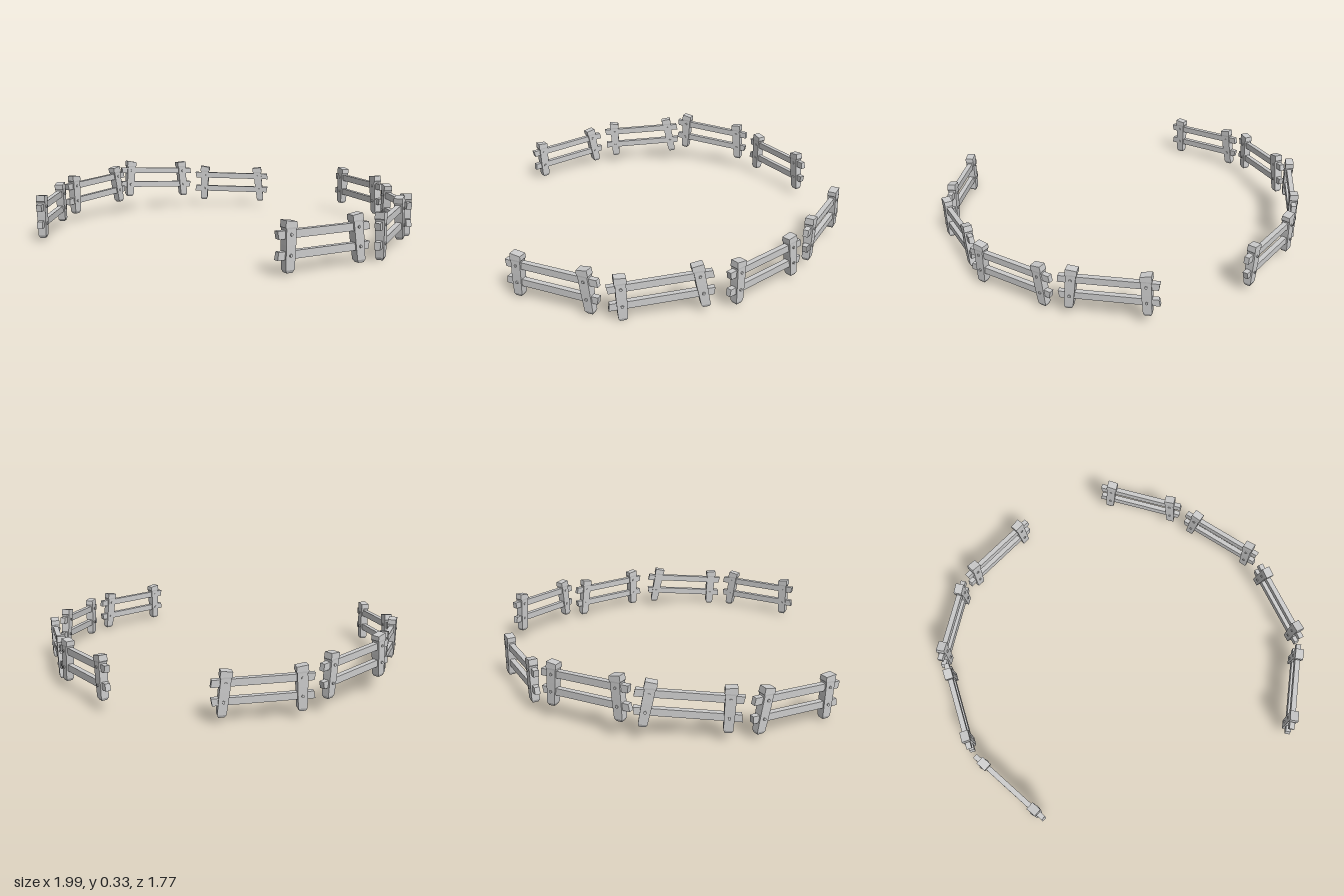
import * as THREE from 'three';

const wood = new THREE.MeshStandardMaterial({ color: 0xcccccc, flatShading: true });

// Fence panels: [xA, midHeightA, zA, xB, midHeightB, zB] at the two posts
const PANELS = [
  [-0.67, 0.170, -0.59, -0.355, 0.162, -0.77],
  [-0.955, 0.225, -0.145, -0.78, 0.205, -0.465],
  [-0.96, 0.178, 0.35, -0.96, 0.200, -0.015],
  [-0.725, 0.135, 0.82, -0.915, 0.155, 0.505],
  [0.245, 0.187, -0.835, 0.55, 0.174, -0.635],
  [0.89, 0.143, -0.22, 0.665, 0.143, -0.515],
  [0.965, 0.127, 0.32, 0.92, 0.152, -0.05],
  [0.74, 0.138, 0.795, 0.91, 0.138, 0.47],
];

// Post cross-sections from the ground up: [y, width, depth]
const SECTIONS = [
  [-0.122, 0.030, 0.028],
  [-0.108, 0.044, 0.040],
  [0.0, 0.050, 0.044],
  [0.068, 0.050, 0.044],
  [0.076, 0.060, 0.046],
  [0.103, 0.056, 0.044],
];

// Rough hewn post: a box whose rings follow the sections, with a lean and sloping top
function postGeometry(lean, slope) {
  const n = SECTIONS.length - 1;
  const geo = new THREE.BoxGeometry(1, n, 1, 1, n, 1);
  const p = geo.attributes.position;
  for (let i = 0; i < p.count; i++) {
    const ring = Math.round(p.getY(i) + n / 2);
    const [y, w, d] = SECTIONS[ring];
    const side = Math.sign(p.getX(i));
    const tilt = ring === n ? slope * side : 0;
    p.setXYZ(i, p.getX(i) * w + lean * y, y + tilt, p.getZ(i) * d);
  }
  geo.computeVertexNormals();
  return geo;
}

// Rail: a plank with slightly uneven ends
function railGeometry(skew) {
  const geo = new THREE.BoxGeometry(0.488, 0.036, 0.027);
  const p = geo.attributes.position;
  for (let i = 0; i < p.count; i++) {
    p.setX(i, p.getX(i) + Math.sign(p.getY(i)) * skew);
  }
  geo.computeVertexNormals();
  return geo;
}

const boltGeo = new THREE.CylinderGeometry(0.007, 0.008, 0.006, 6).rotateX(Math.PI / 2);

function add(parent, name, geo, x = 0, y = 0, z = 0) {
  const mesh = new THREE.Mesh(geo, wood);
  mesh.name = name;
  mesh.position.set(x, y, z);
  parent.add(mesh);
  return mesh;
}

function buildPanel() {
  const panel = new THREE.Group();
  const half = 0.184;
  const posts = [
    { name: 'straightPost', x: -half, lean: 0.02, slope: -0.004 },
    { name: 'leaningPost', x: half, lean: -0.13, slope: 0.004 },
  ];
  const rails = [
    { name: 'lowerRail', y: -0.045, skew: 0.003 },
    { name: 'upperRail', y: 0.045, skew: -0.003 },
  ];
  for (const r of rails) add(panel, r.name, railGeometry(r.skew), 0, r.y, 0);
  for (const q of posts) {
    add(panel, q.name, postGeometry(q.lean, q.slope), q.x);
    // Bolts where the rails cross, on both faces
    for (const r of rails)
      for (const s of [-1, 1])
        add(panel, 'bolt', boltGeo, q.x + q.lean * r.y, r.y, s * 0.0235);
  }
  return panel;
}

export function createModel() {
  const model = new THREE.Group();
  model.name = 'fenceRing';
  const template = buildPanel();
  PANELS.forEach(([xa, ya, za, xb, yb, zb], i) => {
    const panel = template.clone();
    panel.name = `fencePanel${i + 1}`;
    const dx = xb - xa, dz = zb - za;
    panel.position.set((xa + xb) / 2, (ya + yb) / 2, (za + zb) / 2);
    // Turn along the ring, then roll with the ground
    panel.rotation.set(0, Math.atan2(-dz, dx), Math.atan2(yb - ya, Math.hypot(dx, dz)));
    model.add(panel);
  });
  return model;
}
